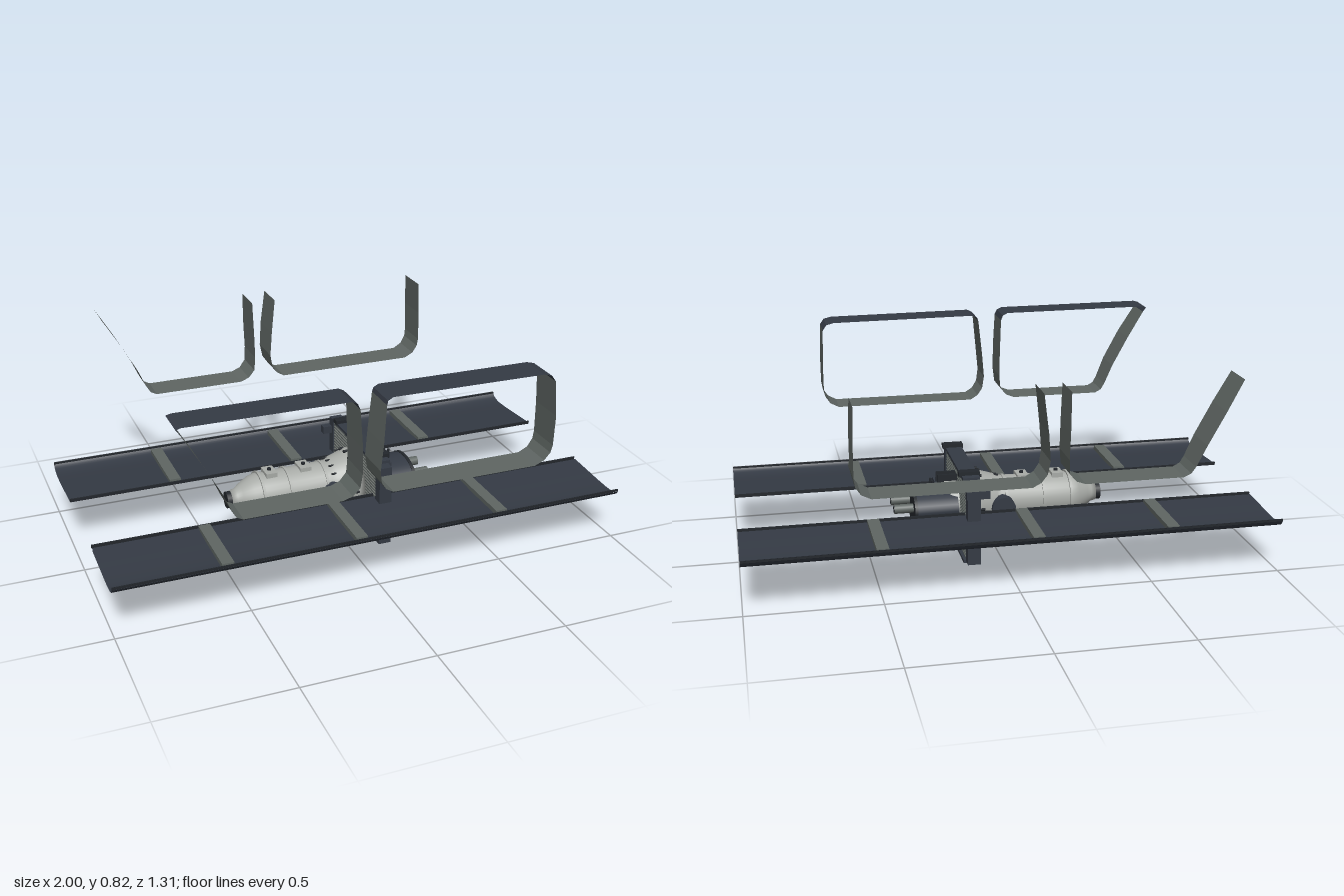
import * as THREE from 'three';

export function createModel() {
  const root = new THREE.Group();
  const mat = (name, color, side = THREE.FrontSide) => {
    const m = new THREE.MeshStandardMaterial({ color, side });
    m.name = name;
    return m;
  };
  const navy = mat('dark navy', 0x343a44, THREE.DoubleSide);
  const grey = mat('green grey', 0x5f6663, THREE.DoubleSide);
  const silver = mat('light metal', 0xa9aca8);
  const black = mat('near black', 0x23272c);

  const add = (name, geo, m, x = 0, y = 0, z = 0, parent = root) => {
    const mesh = new THREE.Mesh(geo, m);
    mesh.name = name;
    mesh.position.set(x, y, z);
    parent.add(mesh);
    return mesh;
  };
  const box = (name, m, w, h, d, x, y, z, parent) =>
    add(name, new THREE.BoxGeometry(w, h, d), m, x, y, z, parent);
  // Cylinder lying along x (or z)
  const rod = (name, m, r, len, x, y, z, axis = 'x', parent = root, sides = 20) => {
    const g = new THREE.CylinderGeometry(r, r, len, sides);
    if (axis === 'x') g.rotateZ(Math.PI / 2);
    if (axis === 'z') g.rotateX(Math.PI / 2);
    return add(name, g, m, x, y, z, parent);
  };
  // Thin surface joining two matching rows of points
  const strip = (a, b, smooth) => {
    const g = new THREE.BufferGeometry(), idx = [];
    g.setAttribute('position', new THREE.Float32BufferAttribute([...a, ...b].flat(), 3));
    for (let i = 0, n = a.length; i < n - 1; i++) idx.push(i, i + 1, n + i, i + 1, n + i + 1, n + i);
    g.setIndex(idx);
    const out = smooth ? g : g.toNonIndexed();
    out.computeVertexNormals();
    return out;
  };

  // Long side panels: shallow dish with a raised outer lip, rail and strips
  const dish = new THREE.CatmullRomCurve3([
    [0.2, 0.202], [0.3, 0.196], [0.4, 0.19], [0.47, 0.19], [0.505, 0.2], [0.52, 0.217],
  ].map(([z, y]) => new THREE.Vector3(0, y, z))).getPoints(16);
  for (const s of [1, -1]) {
    const panel = new THREE.Group();
    panel.name = s > 0 ? 'frontPanel' : 'backPanel';
    root.add(panel);
    const row = (x, dy) => dish.map(p => [x, p.y + dy, s * p.z]);
    // corner order keeps the skin's front side up on both mirrored panels
    add('panelSkin', strip(row(s, 0), row(-s, 0), true), navy, 0, 0, 0, panel);
    add('panelUnderside', strip(row(-s, -0.01), row(s, -0.01), true), navy, 0, 0, 0, panel);
    box('innerRail', black, 2, 0.012, 0.006, 0, 0.203, s * 0.19, panel);
    box('outerRail', black, 2, 0.008, 0.006, 0, 0.212, s * 0.517, panel);
    for (const x of [-0.58, -0.07, 0.5]) box('crossStrip', grey, 0.045, 0.018, 0.3, x, 0.205, s * 0.35, panel);
  }

  // Window frames: ribbons whose outer edge bulges with height
  const outer = y => 0.655 - 0.02 * ((y - 0.64) / 0.18) ** 2;
  const ribbon = (name, m, pts, s) => add(name, strip(
    pts.map(([x, y]) => [x, y, s * 0.51]),
    pts.map(([x, y]) => [x, y, s * outer(y)])), m);
  const windowA = [[-0.765, 0.8], [-0.7, 0.69], [-0.635, 0.57], [-0.6, 0.49], [-0.585, 0.465], [-0.56, 0.452],
    [-0.2, 0.452], [-0.165, 0.465], [-0.14, 0.495], [-0.135, 0.55], [-0.137, 0.65], [-0.142, 0.79]];
  const windowB = [[-0.045, 0.79], [-0.06, 0.65], [-0.068, 0.55], [-0.06, 0.5], [-0.04, 0.47], [-0.01, 0.452],
    [0.55, 0.452], [0.585, 0.47], [0.605, 0.5], [0.61, 0.53], [0.61, 0.65], [0.605, 0.78]];
  for (const s of [1, -1]) {
    ribbon('windowFrameA', grey, windowA, s);
    ribbon('windowFrameB', grey, windowB, s);
  }
  ribbon('windowLidA', navy, [[-0.765, 0.8], [-0.778, 0.818], [-0.76, 0.823], [-0.17, 0.82], [-0.15, 0.81], [-0.142, 0.79]], 1);
  ribbon('windowLidB', navy, [[-0.045, 0.79], [-0.04, 0.805], [-0.02, 0.815], [0.56, 0.81], [0.59, 0.802], [0.605, 0.78]], 1);

  // Engine and gearbox: turned casing along x
  const engine = new THREE.Group();
  engine.name = 'engine';
  root.add(engine);
  const cy = 0.19;
  const casing = new THREE.LatheGeometry([
    [0, -0.415], [0.036, -0.415], [0.04, -0.395], [0.055, -0.375], [0.078, -0.335], [0.086, -0.31], [0.088, -0.2],
    [0.09, -0.02], [0.1, 0], [0.118, 0.06], [0.126, 0.075], [0.126, 0.1], [0, 0.1],
  ].map(([r, x]) => new THREE.Vector2(r, x)), 32);
  casing.rotateZ(-Math.PI / 2);
  add('casing', casing.toNonIndexed(), silver, 0, cy, 0, engine);
  rod('noseRing', black, 0.033, 0.02, -0.424, cy, 0, 'x', engine);
  for (const x of [-0.3, -0.19, -0.04]) rod('casingBand', silver, 0.094, 0.01, x, cy, 0, 'x', engine, 32);
  for (let i = 0; i < 16; i++) {
    const a = i / 16 * Math.PI * 2;
    rod('flangeBolt', black, 0.006, 0.02, 0.065, cy + 0.122 * Math.sin(a), 0.122 * Math.cos(a), 'x', engine, 6);
    rod('bandBolt', black, 0.004, 0.02, -0.01, cy + 0.096 * Math.sin(a), 0.096 * Math.cos(a), 'x', engine, 6);
  }
  for (const x of [-0.255, -0.115]) {
    box('topCover', silver, 0.045, 0.02, 0.07, x, 0.278, 0, engine);
    rod('coverKnob', black, 0.008, 0.012, x, 0.29, 0, 'y', engine, 8);
  }
  box('lowerPan', grey, 0.33, 0.034, 0.2, -0.16, 0.083, 0, engine);
  box('panRim', black, 0.335, 0.008, 0.205, -0.16, 0.098, 0, engine);
  for (const s of [1, -1]) {
    box('sideRail', silver, 0.23, 0.03, 0.025, -0.21, 0.15, s * 0.088, engine);
    rod('sideDrum', navy, 0.047, 0.05, -0.02, 0.185, s * 0.1, 'z', engine);
  }

  // Radiator with slatted core, side tanks and mounts
  const radiator = new THREE.Group();
  radiator.name = 'radiator';
  root.add(radiator);
  box('core', silver, 0.04, 0.33, 0.44, 0.125, 0.187, 0, radiator);
  for (let i = 0; i < 26; i++) box('slat', grey, 0.046, 0.005, 0.44, 0.125, 0.03 + i * 0.0126, 0, radiator);
  for (const y of [0.022, 0.352]) box('coreRail', navy, 0.065, 0.012, 0.445, 0.127, y, 0, radiator);
  for (const s of [1, -1]) {
    box('sideTank', navy, 0.05, 0.325, 0.042, 0.125, 0.185, s * 0.242, radiator);
    box('topMount', black, 0.08, 0.018, 0.035, 0.13, 0.362, s * 0.175, radiator);
    rod('bottomPeg', black, 0.008, 0.02, 0.13, 0.01, s * 0.175, 'y', radiator, 10);
  }
  box('tankInlet', navy, 0.09, 0.03, 0.028, 0.108, 0.3, -0.25, radiator);
  box('tankOutlet', navy, 0.04, 0.03, 0.03, 0.13, 0.08, 0.25, radiator);

  // Rear unit: oval drum, cooling dome, struts and twin pipes
  const rear = new THREE.Group();
  rear.name = 'rearUnit';
  root.add(rear);
  const drum = rod('ovalDrum', navy, 1, 0.17, 0.24, 0.187, 0, 'x', rear, 32);
  drum.scale.set(1, 0.064, 0.112);
  const lip = rod('drumLip', black, 1, 0.012, 0.32, 0.187, 0, 'x', rear, 32);
  lip.scale.set(1, 0.067, 0.115);
  const dome = new THREE.SphereGeometry(0.09, 24, 12, 0, Math.PI * 2, 0, Math.PI / 2);
  dome.rotateZ(-Math.PI / 2);
  add('coolingDome', dome, silver, 0.147, 0.187, 0, rear);
  for (const z of [-0.02, 0.02]) box('upperStrut', black, 0.08, 0.24, 0.01, 0.185, 0.188, z, rear);
  box('upperBar', navy, 0.08, 0.014, 0.16, 0.19, 0.262, 0, rear);
  box('upperCrossbar', silver, 0.05, 0.012, 0.17, 0.175, 0.276, 0, rear);
  box('lowerBar', navy, 0.08, 0.014, 0.16, 0.19, 0.117, 0, rear);
  rod('standPipe', black, 0.005, 0.06, 0.25, 0.26, 0, 'y', rear, 8);
  for (const s of [1, -1]) {
    rod('tailPipe', grey, 0.018, 0.08, 0.36, 0.19, s * 0.05, 'x', rear);
    rod('pipeBore', black, 0.013, 0.004, 0.4, 0.19, s * 0.05, 'x', rear);
  }
  return root;
}
